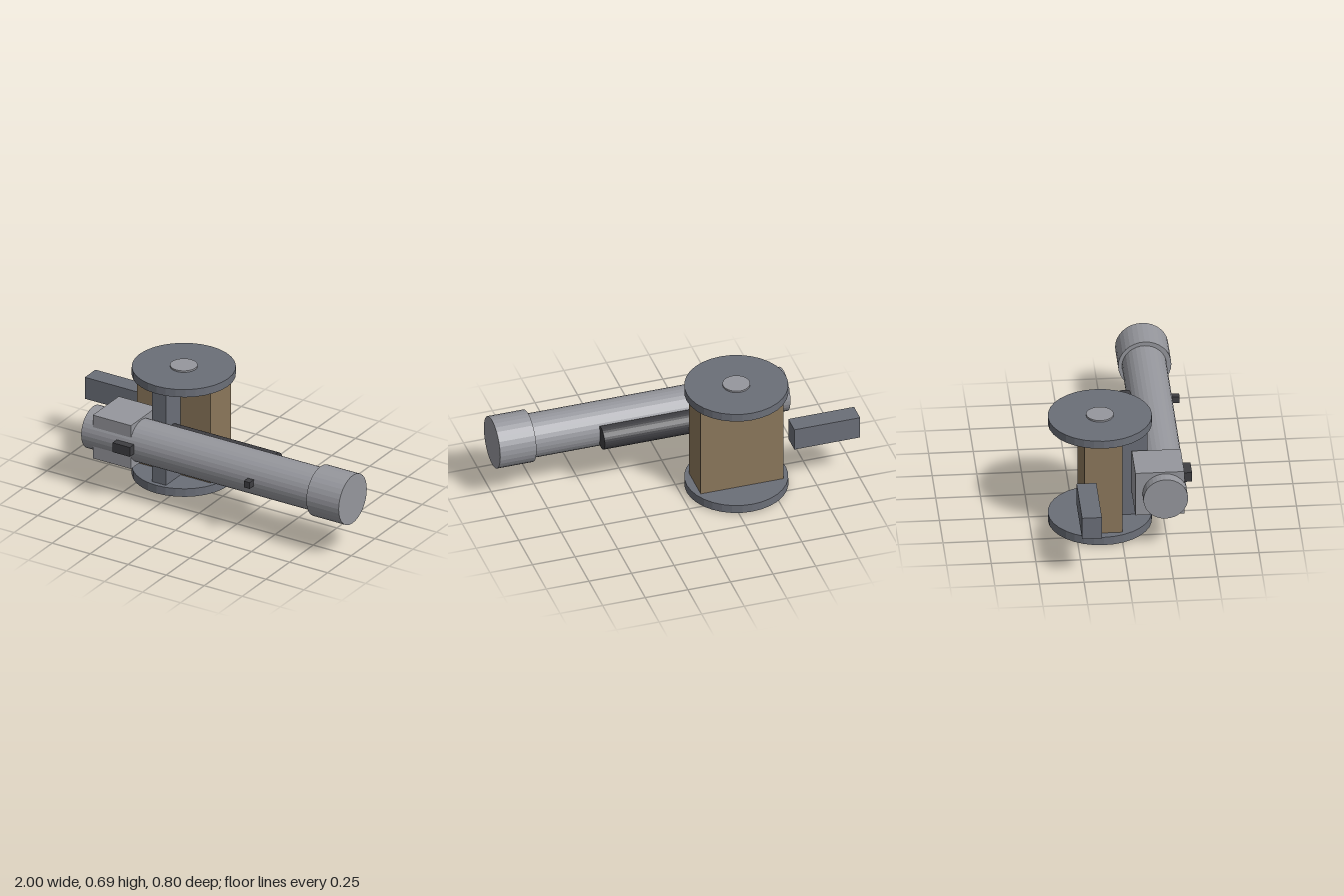
import * as THREE from 'three';

const material = (name, color) => {
  const m = new THREE.MeshStandardMaterial({ color, flatShading: true });
  m.name = name;
  return m;
};

export function createModel() {
  const model = new THREE.Group();
  const lightGrey = material('lightGrey', 0x96979d);
  const steel = material('steelGrey', 0x6b6f78);
  const brown = material('brown', 0x8b775b);
  const dark = material('darkGrey', 0x3e3e42);

  const add = (name, geometry, mat) => {
    const mesh = new THREE.Mesh(geometry, mat);
    mesh.name = name;
    model.add(mesh);
    return mesh;
  };
  // Box given by its extent on each axis
  const box = (name, mat, [x0, x1], [y0, y1], [z0, z1]) =>
    add(name, new THREE.BoxGeometry(x1 - x0, y1 - y0, z1 - z0), mat)
      .position.set((x0 + x1) / 2, (y0 + y1) / 2, (z0 + z1) / 2);
  // Cylinder lying along x
  const tube = (name, mat, r, x0, x1, y, z, sides = 32) =>
    add(name, new THREE.CylinderGeometry(r, r, x1 - x0, sides).rotateZ(-Math.PI / 2), mat)
      .position.set((x0 + x1) / 2, y, z);
  // Upright disc on the drum axis
  const disc = (name, mat, r, y0, y1) =>
    add(name, new THREE.CylinderGeometry(r, r, y1 - y0, 32), mat)
      .position.set(-0.323, (y0 + y1) / 2, -0.107);

  // Drum: body, end plates and hubs
  box('drumBody', brown, [-0.565, -0.08], [0.06, 0.632], [-0.213, 0]);
  box('drumSpine', steel, [-0.37, -0.277], [0.06, 0.632], [-0.02, 0.156]);
  disc('lowerPlate', steel, 0.291, 0.01, 0.06);
  disc('upperPlate', steel, 0.291, 0.632, 0.68);
  disc('lowerHub', lightGrey, 0.077, 0, 0.012);
  disc('upperHub', lightGrey, 0.077, 0.678, 0.69);

  // Long tube with its collar and mounting block
  tube('mainTube', lightGrey, 0.125, -0.71, 0.79, 0.346, 0.231);
  tube('endCollar', lightGrey, 0.149, 0.787, 1, 0.346, 0.234);
  box('mountBlock', lightGrey, [-0.643, -0.392], [0.211, 0.481], [0.066, 0.34]);

  // Slim rod behind the tube
  tube('rearRod', dark, 0.067, -0.29, 0.407, 0.346, 0.088);

  // Small blocks on the front of the tube
  box('rearSight', dark, [-0.478, -0.364], [0.318, 0.376], [0.34, 0.397]);
  box('frontSight', dark, [0.385, 0.424], [0.327, 0.366], [0.34, 0.397]);

  // Separate bar behind, to the side of the drum
  box('sideBar', steel, [-1, -0.614], [0.279, 0.413], [-0.261, -0.15]);

  return model;
}
